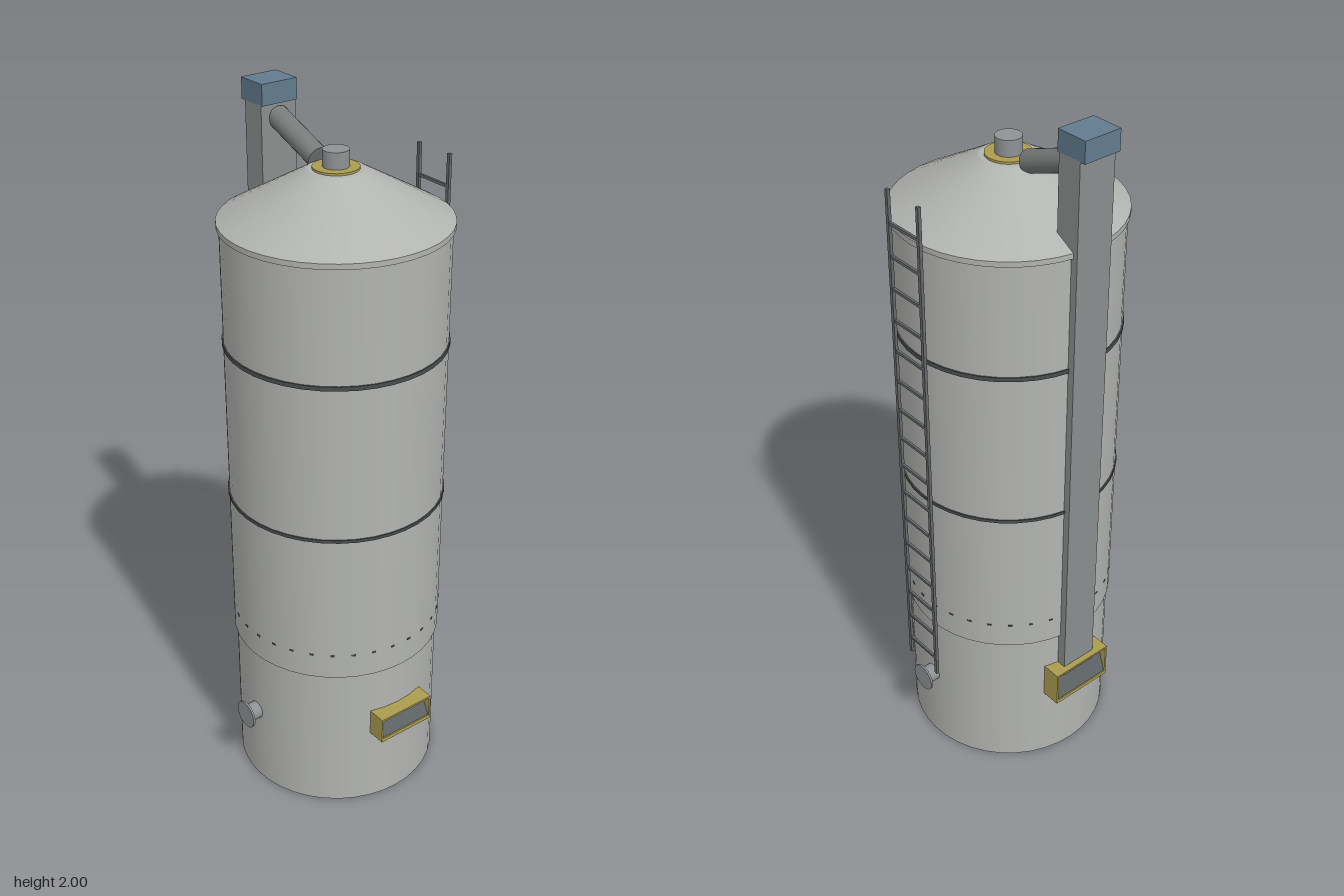
import * as THREE from 'three';

const mat = (name, color, side = THREE.FrontSide) => {
  const m = new THREE.MeshStandardMaterial({ color, side });
  m.name = name;
  return m;
};

export function createModel() {
  const model = new THREE.Group();
  model.name = 'storageSilo';

  const steel = mat('galvanisedSteel', 0xb2b4b1, THREE.DoubleSide);
  const leg = mat('legGrey', 0x8a8e8d);
  const pipe = mat('pipeGrey', 0x777b7a);
  const capGrey = mat('capGrey', 0x8f9294);
  const dark = mat('darkSteel', 0x4a4d4e);
  const ladderGrey = mat('ladderGrey', 0x66696a);
  const panel = mat('panelGrey', 0x5f6567);
  const yellow = mat('safetyYellow', 0xac9c50);
  const blue = mat('headBlue', 0x627b8d);

  const add = (name, geo, material, x = 0, y = 0, z = 0, parent = model) => {
    const m = new THREE.Mesh(geo, material);
    m.name = name;
    m.position.set(x, y, z);
    parent.add(m);
    return m;
  };
  const box = (w, h, d) => new THREE.BoxGeometry(w, h, d);
  const SEG = 40;

  // Shell: each section is a separate lathe so the seams stay sharp
  const sections = {
    lowerShell: [[0.293, 0], [0.293, 0.46]],
    shellStep: [[0.293, 0.46], [0.3, 0.46]],
    upperShell: [[0.3, 0.46], [0.3, 1.7]],
    eaveUnderside: [[0.3, 1.69], [0.307, 1.69]],
    eaveRim: [[0.307, 1.69], [0.307, 1.705]],
    coneRoof: [[0.307, 1.705], [0.075, 1.835]],
    roofCrown: [[0.075, 1.835], [0.0001, 1.836]],
  };
  for (const [name, pts] of Object.entries(sections)) {
    add(name, new THREE.LatheGeometry(pts.map(p => new THREE.Vector2(...p)), SEG), steel);
  }

  // Stiffening bands
  for (const [y, h] of [[1.37, 0.012], [0.916, 0.009]]) {
    add('band', new THREE.CylinderGeometry(0.3035, 0.3035, h, SEG, 1, false), dark, 0, y, 0);
  }

  // Row of seam bolts
  for (let i = 0; i < 32; i++) {
    const a = (i + 0.5) / 32 * Math.PI * 2;
    const bolt = add('seamBolt', box(0.012, 0.005, 0.003), dark, Math.sin(a) * 0.2995, 0.535, Math.cos(a) * 0.2995);
    bolt.rotation.y = a;
  }

  // Roof vent with its collar
  add('ventCollar', new THREE.CylinderGeometry(0.061, 0.061, 0.006, 32), yellow, 0, 1.838, 0);
  add('ventCap', new THREE.CylinderGeometry(0.035, 0.035, 0.045, 32), capGrey, 0, 1.8625, 0);

  // Elevator leg and head
  add('elevatorLeg', box(0.11, 1.63, 0.072), leg, 0, 1.13, -0.279);
  add('elevatorHead', box(0.11, 0.057, 0.092), blue, 0, 1.9715, -0.284);

  // Sloping spout from the head to the roof
  const from = new THREE.Vector3(0, 1.908, -0.25), to = new THREE.Vector3(0, 1.842, -0.075);
  const dir = to.clone().sub(from);
  const spout = add('spout', new THREE.CylinderGeometry(0.03, 0.03, dir.length(), 24), pipe);
  spout.position.copy(from).add(to).multiplyScalar(0.5);
  spout.quaternion.setFromUnitVectors(new THREE.Vector3(0, 1, 0), dir.normalize());

  // Hoppers: open frames through the wall, with a sloping chute plate inside
  const hopper = (name, w, y0, y1, turn) => {
    const g = new THREE.Group();
    g.name = name;
    const t = 0.006, lip = 0.012;
    const s = new THREE.Shape([[-w, y0], [w, y0], [w, y1], [-w, y1]].map(p => new THREE.Vector2(...p)));
    s.holes.push(new THREE.Path([[-w + t, y0 + lip], [-w + t, y1 - t], [w - t, y1 - t], [w - t, y0 + lip]]
      .map(p => new THREE.Vector2(...p))));
    const frame = new THREE.ExtrudeGeometry(s, { depth: 0.273, bevelEnabled: false });
    add('hopperFrame', frame, yellow, 0, 0, 0.06, g);
    const h = y1 - t - y0 - lip, d = 0.03;
    const plate = add('chutePlate', box(2 * (w - t), Math.hypot(h, d), 0.004), panel,
      0, (y0 + lip + y1 - t) / 2, 0.313, g);
    plate.rotation.x = -Math.atan2(d, h);
    g.rotation.y = turn;
    model.add(g);
  };
  hopper('frontHopper', 0.09, 0.24, 0.32, 0);
  hopper('backHopper', 0.097, 0.24, 0.35, Math.PI);

  // Flanged side outlets
  for (const s of [-1, 1]) {
    const stub = add('outletPipe', new THREE.CylinderGeometry(0.026, 0.026, 0.06, 24), capGrey, s * 0.299, 0.245, 0);
    const flange = add('outletFlange', new THREE.CylinderGeometry(0.041, 0.041, 0.006, 24), capGrey, s * 0.33, 0.245, 0);
    stub.rotation.z = flange.rotation.z = Math.PI / 2;
  }

  // Ladder on the left side
  const ladder = new THREE.Group();
  ladder.name = 'ladder';
  model.add(ladder);
  for (const s of [-1, 1]) {
    add('ladderRail', box(0.009, 1.515, 0.01), ladderGrey, 0.325, 1.0645, s * 0.06, ladder);
  }
  for (let i = 0; i < 16; i++) {
    add('ladderRung', box(0.007, 0.008, 0.12), ladderGrey, 0.325, 0.365 + i * 0.0912, 0, ladder);
  }

  return model;
}
